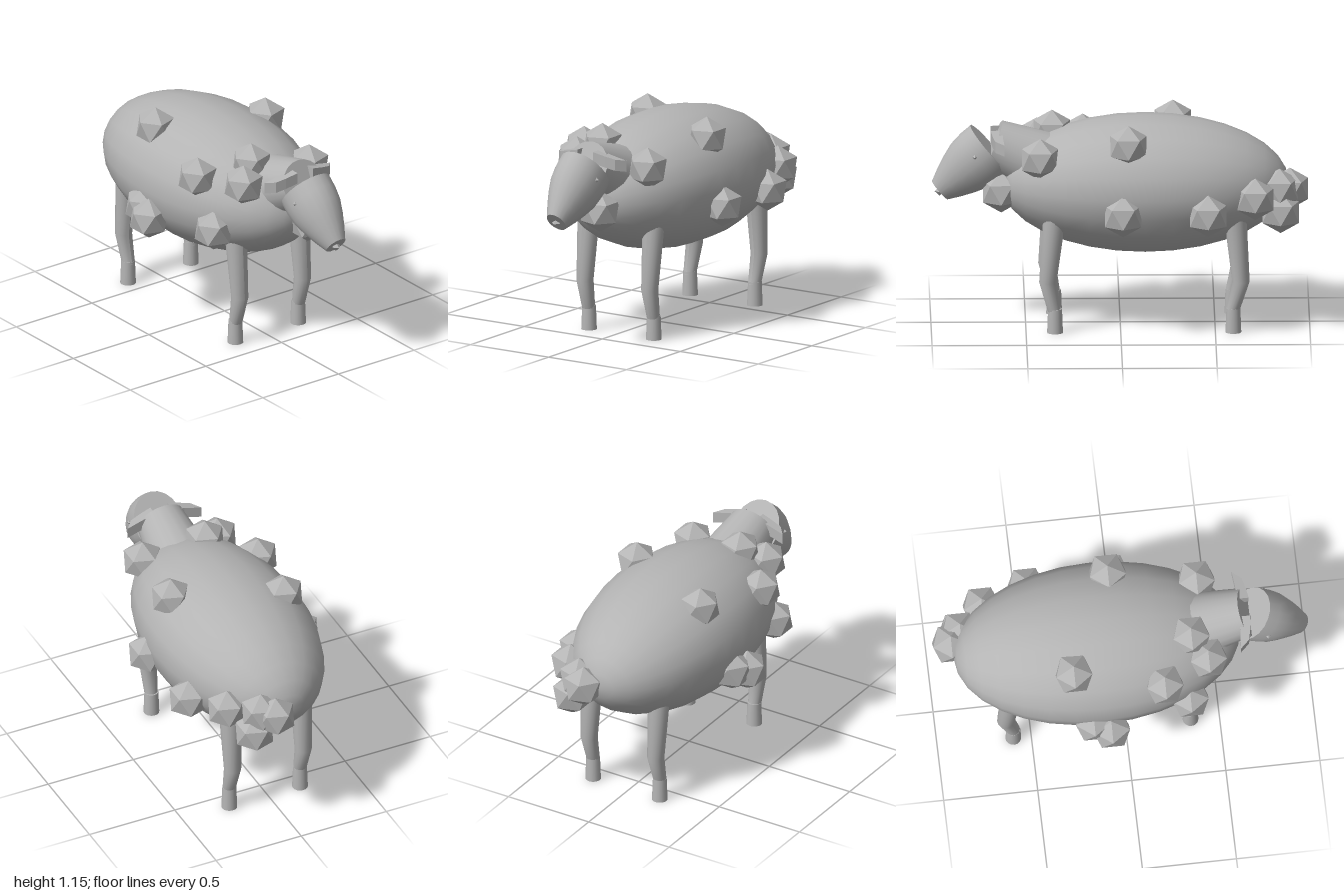
import * as THREE from 'three';

const CX = 0.018; // middle plane of head and legs

export function createModel() {
  const model = new THREE.Group();
  const grey = new THREE.MeshStandardMaterial({ color: 0xb4b4b4 });
  grey.name = 'wool grey';
  const facetedGrey = grey;

  const add = (name, geo, x = 0, y = 0, z = 0) => {
    const mesh = new THREE.Mesh(geo, grey);
    mesh.name = name;
    mesh.position.set(x, y, z);
    model.add(mesh);
    return mesh;
  };

  // Solid of revolution from [radius, distance] points, pointing along dir
  const lathe = (profile, segments, dir) => {
    const geo = new THREE.LatheGeometry(profile.map(([r, d]) => new THREE.Vector2(r, d)), segments);
    const turn = new THREE.Quaternion().setFromUnitVectors(
      new THREE.Vector3(0, 1, 0), new THREE.Vector3(...dir).normalize());
    return [geo, turn];
  };

  // Body: long ellipsoid with its poles at chest and rump
  const body = new THREE.SphereGeometry(1, 20, 16);
  body.rotateX(Math.PI / 2);
  body.scale(0.435, 0.365, 0.76);
  add('body', body, 0.01, 0.765, -0.13);

  // Neck: tapered cylinder rising forward
  const neckGeo = new THREE.CylinderGeometry(0.13, 0.19, 0.42, 20);
  neckGeo.translate(0, -0.21, 0);
  neckGeo.rotateX(Math.atan2(0.92, 0.38));
  add('neck', neckGeo, CX, 0.98, 0.67);

  // Head: rounded cone from the crown down to the muzzle
  const [headGeo, headTurn] = lathe(
    [[0.163, 0], [0.163, 0.07], [0.154, 0.14], [0.13, 0.21], [0.1, 0.28], [0.065, 0.35]], 20, [0, -0.65, 0.76]);
  headGeo.scale(0.84, 1, 1);
  const head = add('head', headGeo, CX, 0.953, 0.687);
  head.quaternion.copy(headTurn);
  const cap = (name, r, dist, flip, sx) => {
    const geo = new THREE.CircleGeometry(r, 20);
    geo.rotateX(flip ? Math.PI / 2 : -Math.PI / 2);
    geo.scale(sx, 1, 1);
    geo.translate(0, dist, 0);
    const mesh = new THREE.Mesh(geo, grey);
    mesh.name = name;
    head.add(mesh);
  };
  cap('crown', 0.163, 0, true, 0.84);
  cap('muzzle', 0.065, 0.35, false, 0.84);

  add('nose', new THREE.OctahedronGeometry(0.026), CX, 0.72, 0.955);

  for (const side of [-1, 1]) {
    // Eyes
    add('eye', new THREE.OctahedronGeometry(0.013), CX + side * 0.133, 0.937, 0.77);

    // Ears: flat slabs with a slanted tip, drooping outwards
    const plan = new THREE.Shape([[0.05, -0.62], [0.05, -0.685], [0.12, -0.675], [0.175, -0.662], [0.217, -0.614], [0.12, -0.622]]
      .map(([x, y]) => new THREE.Vector2(side * x, y)));
    const ear = new THREE.ExtrudeGeometry(plan, { depth: 0.06, bevelEnabled: false });
    ear.rotateX(-Math.PI / 2);
    const p = ear.attributes.position;
    for (let i = 0; i < p.count; i++) p.setY(i, p.getY(i) + 1.012 - 0.23 * Math.abs(p.getX(i)));
    ear.computeVertexNormals();
    add('ear', ear, CX, 0, 0);

    // Legs: bent tapered cylinders on hooves
    for (const [name, zs] of [['front', [0.35, 0.385, 0.35]], ['rear', [-0.605, -0.635, -0.592]]]) {
      const rings = [[0.625, 0.06], [0.275, 0.046], [0.115, 0.035]];
      const leg = new THREE.CylinderGeometry(1, 1, 2, 16, 2);
      const q = leg.attributes.position;
      for (let i = 0; i < q.count; i++) {
        const k = Math.round(1 - q.getY(i));
        const [y, r] = rings[k];
        q.setXYZ(i, q.getX(i) * r, y, q.getZ(i) * r + zs[k]);
      }
      leg.computeVertexNormals();
      add(name + 'Leg', leg, CX + side * 0.2075);
      add(name + 'Hoof', new THREE.CylinderGeometry(0.037, 0.042, 0.13, 16), CX + side * 0.2075, 0.065, zs[2] - 0.003);
    }
  }

  // Wool clumps: faceted balls scattered over the body
  const clump = new THREE.IcosahedronGeometry(0.113, 0);
  clump.rotateZ(Math.atan2(1, (1 + Math.sqrt(5)) / 2));
  const spots = [
    [-0.245, 1.035, -0.28], [0.3, 1.03, -0.04], [-0.325, 0.94, 0.195], [-0.32, 0.68, 0.33],
    [-0.205, 0.95, 0.44], [-0.095, 1.02, 0.36], [0.24, 0.945, 0.425], [0.4, 0.675, -0.46],
    [0.42, 0.68, -0.01], [0.295, 0.74, -0.71], [0.2, 0.645, -0.845], [0.16, 0.76, -0.84],
    [0.1, 0.75, -0.895], [-0.425, 0.62, -0.1], [-0.385, 0.65, -0.19], [0.075, 0.73, 0.63],
  ];
  for (const [x, y, z] of spots) add('woolClump', clump, x, y, z);

  return model;
}
